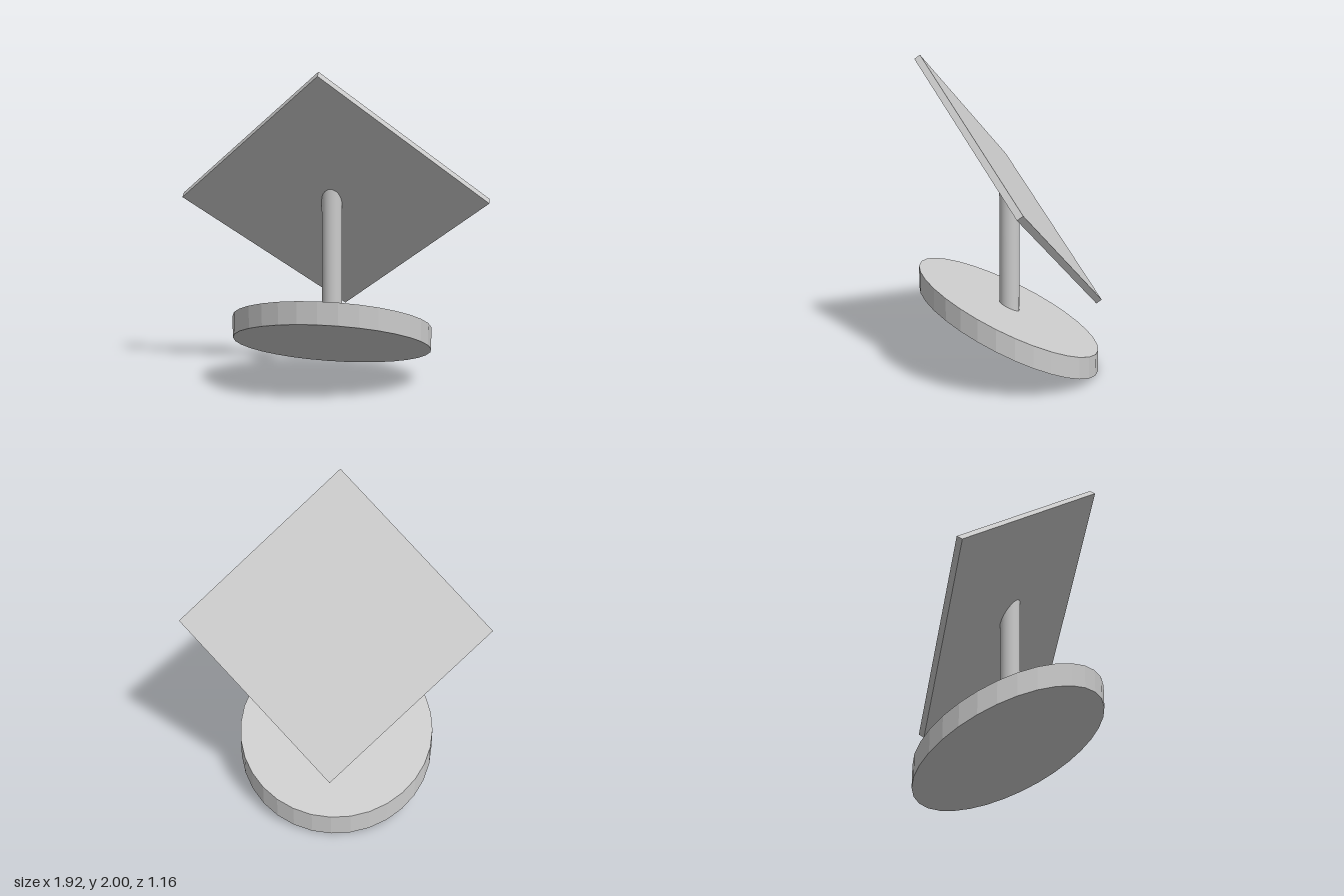
import * as THREE from 'three';

const BASE_SLOPE = 0.48;
const PANEL_TILT = 0.944;
const PANEL_Y = 1.212;

// Move each vertex vertically by a rule of its position
function shiftY(geometry, rule) {
  const p = geometry.attributes.position;
  for (let i = 0; i < p.count; i++) p.setY(i, p.getY(i) + rule(p.getY(i), p.getZ(i)));
  geometry.computeBoundingSphere();
  return geometry;
}

export function createModel() {
  const model = new THREE.Group();
  const smooth = new THREE.MeshStandardMaterial({ color: 0xcccccc });
  const flat = new THREE.MeshStandardMaterial({ color: 0xcccccc, flatShading: true });
  const add = (name, geometry, material) => {
    const mesh = new THREE.Mesh(geometry, material);
    mesh.name = name;
    model.add(mesh);
    return mesh;
  };

  // Sloping disc with upright sides
  const disc = new THREE.CylinderGeometry(1, 1, 0.14, 32).scale(0.628, 1, 0.568);
  shiftY(disc, (y, z) => BASE_SLOPE * z);
  add('base', disc, flat).position.set(-0.007, 0.343, 0.008);

  // Round post, ends cut to follow the base and the panel
  const postX = -0.007, postZ = 0.008;
  const post = new THREE.CylinderGeometry(0.063, 0.063, 1, 32).translate(postX, 0, postZ);
  shiftY(post, (y, z) => (y > 0
    ? PANEL_Y - 0.02 + Math.tan(PANEL_TILT) * z
    : 0.343 + BASE_SLOPE * (z - postZ)) - y);
  add('post', post, smooth);

  // Thin square panel standing on one corner and leaning forward
  const panel = add('panel', new THREE.BoxGeometry(1.36, 0.042, 1.36), flat);
  panel.rotation.set(-PANEL_TILT, Math.PI / 4, 0);
  panel.position.y = PANEL_Y;

  return model;
}
